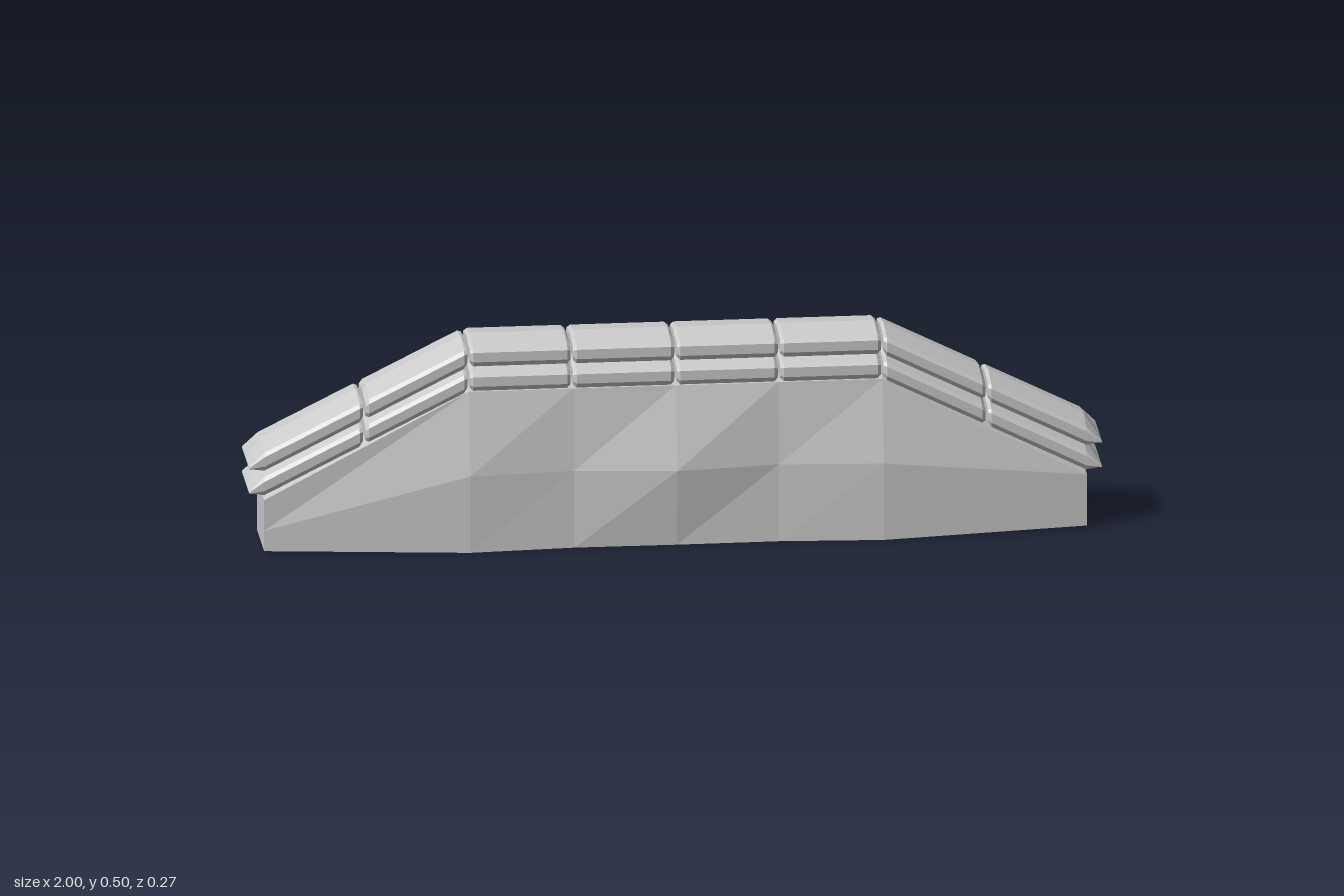
import * as THREE from 'three';

const material = new THREE.MeshStandardMaterial({ color: 0xcccccc, flatShading: true, side: THREE.DoubleSide });

// Joins closed rings of equal length (ordered along +x) into a capped, flat-shaded solid.
// Each ring runs counter-clockwise as seen from +x.
function loft(name, rings) {
  const n = rings[0].length;
  const pos = [];
  const tri = (a, b, c) => pos.push(...a, ...b, ...c);
  for (let i = 0; i < rings.length - 1; i++) {
    for (let j = 0; j < n; j++) {
      const k = (j + 1) % n;
      const [a, b, c, d] = [rings[i][j], rings[i][k], rings[i + 1][k], rings[i + 1][j]];
      tri(a, b, c);
      tri(a, c, d);
    }
  }
  const first = rings[0], last = rings[rings.length - 1];
  for (let j = 1; j < n - 1; j++) {
    tri(first[0], first[j + 1], first[j]);
    tri(last[0], last[j], last[j + 1]);
  }
  const g = new THREE.BufferGeometry();
  g.setAttribute('position', new THREE.Float32BufferAttribute(pos, 3));
  g.computeVertexNormals();
  const mesh = new THREE.Mesh(g, material);
  mesh.name = name;
  return mesh;
}

// Wall: at each column, the bottom, middle and top depth of the front and back faces
function createWall() {
  const columns = [
    // x, base y, middle y, top y, front [bottom, middle], back [bottom, middle]
    [0, 0.004, 0.19, 0.385, [0.115, 0.133], [-0.133, -0.1]],
    [0.24, 0.003, 0.19, 0.385, [0.11, 0.106], [-0.087, -0.11]],
    [0.485, 0.003, 0.19, 0.385, [0.125, 0.125], [-0.12, -0.12]],
    [0.965, 0.01, 0.06, 0.135, [0.085, 0.085], [-0.078, -0.078]],
  ];
  const ring = ([x, y0, y1, y2, f, b], s) => [
    [s * x, y0, f[0]], [s * x, y0, b[0]], [s * x, y1, b[1]],
    [s * x, y2, -0.079], [s * x, y2, 0.085], [s * x, y1, f[1]],
  ];
  const left = columns.map((c) => ring(c, 1));
  const right = columns.slice(1).reverse().map((c) => ring(c, -1));
  return loft('wall', [...right, ...left].map((r) => r.reverse()));
}

// Capstone section as [z, y]: chamfered sides and a shallow ridge
const H = 0.057;
const section = [
  [0.079, 0], [0.087, 0.012], [0.087, 0.035], [0.079, 0.044],
  [0, H], [-0.079, 0.044], [-0.087, 0.035], [-0.087, 0.012], [-0.079, 0],
];

// Drop of the capping below its level middle part
const drop = (x) => Math.max(0, Math.abs(x) - 0.485) * 0.5;

// One capstone from x0 to x1 with bevelled ends; an outer end tapers to a wedge
function createCapstone(name, x0, x1, base) {
  const mid = H * 0.45;
  const ring = (x, sz, sy) => section.map(([z, y]) =>
    [x, base + mid + (y - mid) * sy - drop(x), 0.003 + z * sz]);
  const end = (x, dir) => Math.abs(x) > 0.9
    ? [ring(x, 0.98, 0.08), ring(x - dir * 0.036, 1, 1)]
    : [ring(x - dir * 0.003, 0.94, 0.72), ring(x - dir * 0.011, 1, 1)];
  const [a, b] = end(x0, -1);
  const [d, c] = end(x1, 1);
  return loft(name, [a, b, c, d].map((r) => r.reverse()));
}

export function createModel() {
  const group = new THREE.Group();
  group.name = 'cappedWall';
  group.add(createWall());

  // Two courses of capstones following the wall top
  const joints = [-1, -0.73, -0.485, -0.243, 0, 0.243, 0.485, 0.73, 1];
  for (const [name, base] of [['lowerCapstones', 0.386], ['upperCapstones', 0.446]]) {
    const course = new THREE.Group();
    course.name = name;
    for (let i = 0; i < joints.length - 1; i++) {
      course.add(createCapstone('capstone' + (i + 1), joints[i], joints[i + 1], base));
    }
    group.add(course);
  }
  return group;
}
